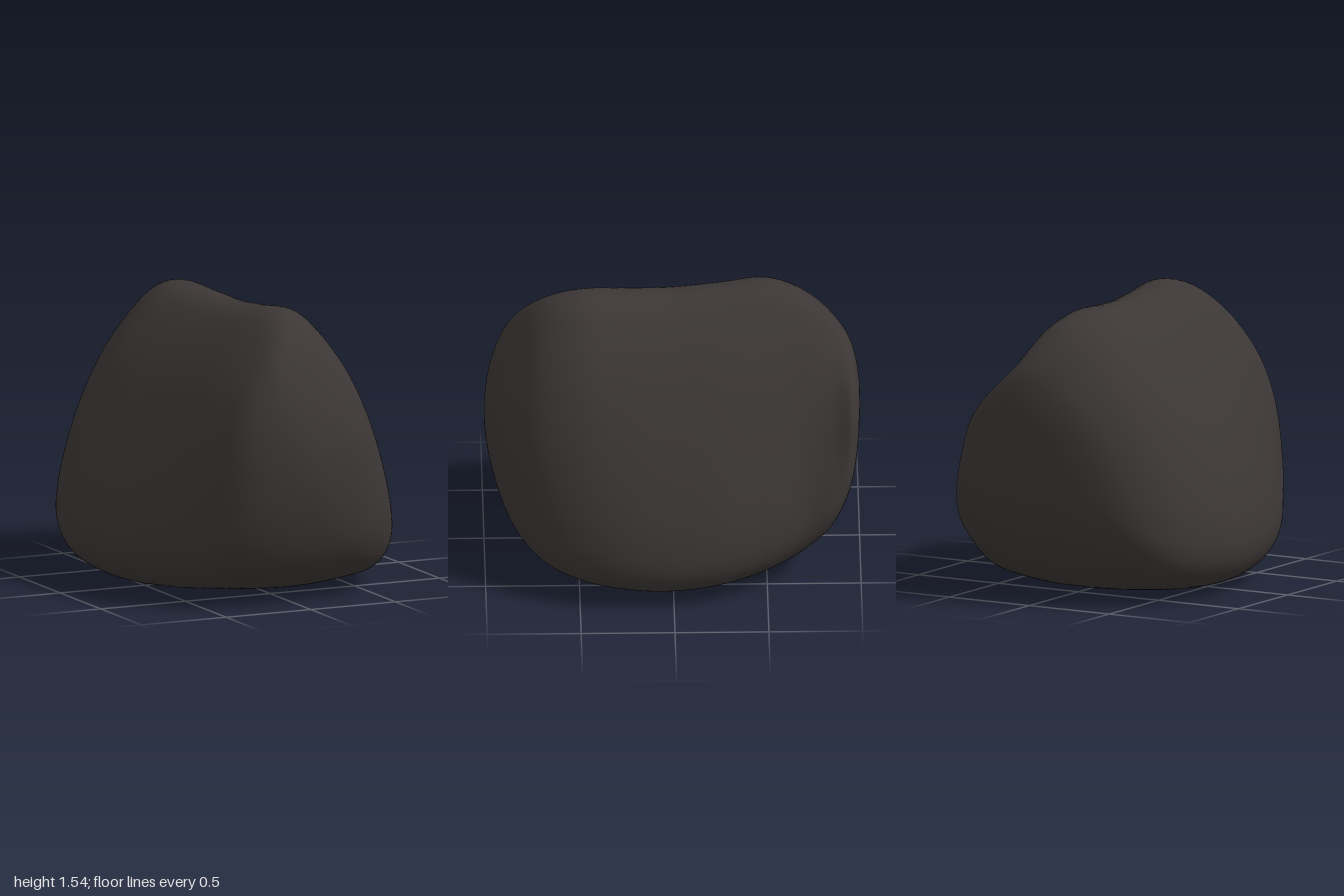
import * as THREE from 'three';
import { mergeVertices } from 'three/addons/utils/BufferGeometryUtils.js';

// Cross-sections from back to front, 15 degrees apart on z = sin(angle):
// [right edge -x, left edge +x, bottom y, top y, ridge x, roundness, pointedness of the +x side]
const SECTIONS = [
  [0.18, 0.18, 0.95, 0.95, 0.18, 1, 0.8],
  [-0.18, 0.44, 0.54, 1.2, 0.1, 0.55, 0.8],
  [-0.5, 0.535, 0.26, 1.35, 0.03, 0.22, 0.8],
  [-0.68, 0.57, 0.095, 1.475, -0.02, 0.14, 0.55],
  [-0.765, 0.66, 0.03, 1.535, -0.06, 0.07, 0.2],
  [-0.8, 0.75, 0.01, 1.52, -0.03, 0.02, 0.04],
  [-0.78, 0.79, 0, 1.51, 0, 0, 0],
  [-0.73, 0.785, 0.01, 1.525, 0.03, 0.02, 0],
  [-0.65, 0.72, 0.03, 1.54, 0.06, 0.1, 0],
  [-0.54, 0.6, 0.085, 1.46, 0.02, 0.25, 0],
  [-0.43, 0.41, 0.215, 1.27, -0.09, 0.48, 0],
  [-0.28, 0.15, 0.46, 1.02, -0.1, 0.75, 0],
  [-0.05, -0.05, 0.75, 0.75, -0.05, 1, 0],
];

// Half outlines, bottom centre to ridge: rounded triangle and pointed corner
const HALF = [
  [0, 0], [0.45, 0.008], [0.8, 0.03], [0.925, 0.07], [0.985, 0.12], [1, 0.175], [0.97, 0.275],
  [0.89, 0.4], [0.78, 0.53], [0.66, 0.65], [0.51, 0.78], [0.29, 0.92], [0.15, 0.98], [0, 1],
];
const POINTED = [
  [0, 0], [0.35, 0.012], [0.68, 0.055], [0.86, 0.1], [0.97, 0.145], [1, 0.2], [0.94, 0.29],
  [0.8, 0.41], [0.65, 0.53], [0.51, 0.65], [0.36, 0.79], [0.21, 0.92], [0.11, 0.98], [0, 1],
];

// Mirrored rows past each pole keep the ends smoothly rounded
const past = ([l, r, b, t, ...rest]) => [r, l, t, b, ...rest];
const n = SECTIONS.length;
const row = (i) => (i < 0 ? past(SECTIONS[-i]) : i >= n ? past(SECTIONS[2 * n - 2 - i]) : SECTIONS[i]);

function sectionAt(s) {
  const i = Math.min(Math.floor(s), n - 2), f = s - i;
  const [p, q, r, t] = [row(i - 1), row(i), row(i + 1), row(i + 2)];
  return q.map((v, k) => v + 0.5 * f * (r[k] - p[k]
    + f * (2 * p[k] - 5 * v + 4 * r[k] - t[k] + f * (3 * (v - r[k]) + t[k] - p[k]))));
}

// Closed smooth outline, with the given half on +x and the triangle on -x
function outlinePoints(half, sides) {
  const points = [...half, ...HALF.slice(1, -1).reverse().map(([u, v]) => [-u, v])];
  const curve = new THREE.CatmullRomCurve3(
    points.map(([u, v]) => new THREE.Vector3(u, v, 0)), true);
  return Array.from({ length: sides }, (_, j) => curve.getPoint(j / sides));
}

function stoneGeometry(rings = 96, sides = 104) {
  const triangle = outlinePoints(HALF, sides), pointed = outlinePoints(POINTED, sides);
  const positions = [], index = [];
  for (let i = 0; i <= rings; i++) {
    const t = i / rings;
    const [l, r, b, top, ridge, round, point] = sectionAt(t * (n - 1));
    const z = Math.sin((t - 0.5) * Math.PI);
    // Blend the outline towards the pointed corner, then towards an ellipse near the ends
    const section = triangle.map((p, j) => {
      const q = p.clone().lerp(pointed[j], point);
      const a = Math.atan2(2 * q.y - 1, q.x);
      return q.lerp(new THREE.Vector3(Math.cos(a), 0.5 + 0.5 * Math.sin(a), 0), round);
    });
    // Fit each side to the edges of this section
    const right = Math.min(...section.map((p) => p.x)), left = Math.max(...section.map((p) => p.x));
    for (const { x, y } of section) {
      const side = x < 0 ? (x / right) * (l - ridge) : (x / left) * (r - ridge);
      positions.push(ridge + side, b + y * (top - b), z);
    }
  }
  for (let i = 0; i < rings; i++) {
    for (let j = 0; j < sides; j++) {
      const a = i * sides + j, b = i * sides + (j + 1) % sides;
      if (i > 0) index.push(a, b, a + sides);
      if (i < rings - 1) index.push(b, b + sides, a + sides);
    }
  }
  let geometry = new THREE.BufferGeometry();
  geometry.setAttribute('position', new THREE.Float32BufferAttribute(positions, 3));
  geometry.setIndex(index);
  geometry = mergeVertices(geometry, 1e-5);
  geometry.computeVertexNormals();
  return geometry;
}

export function createModel() {
  const group = new THREE.Group();
  group.name = 'stone';
  const darkStone = new THREE.MeshStandardMaterial({ color: 0x3c3636 });
  darkStone.name = 'darkStone';
  const body = new THREE.Mesh(stoneGeometry(), darkStone);
  body.name = 'stoneBody';
  group.add(body);
  return group;
}
